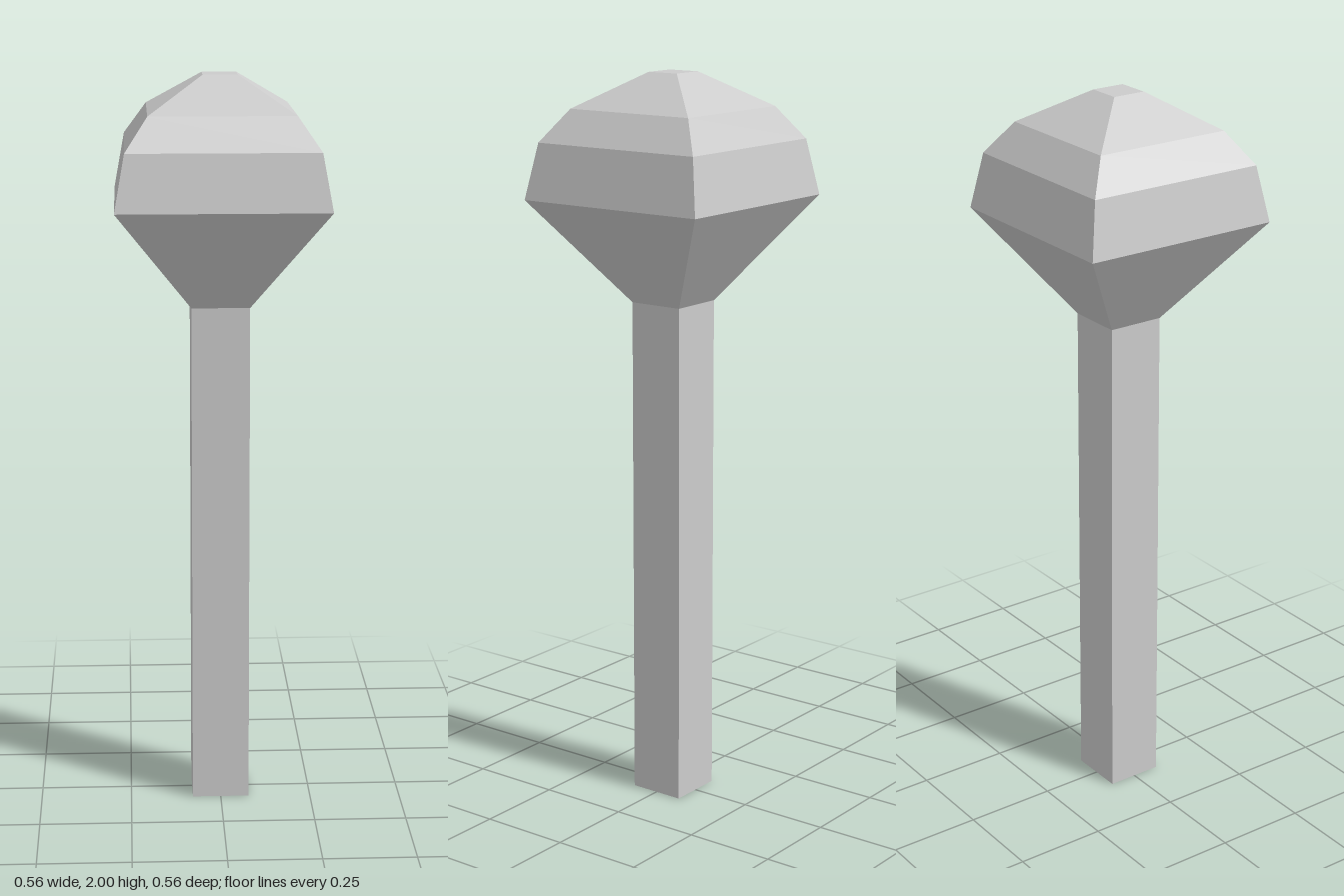
import * as THREE from 'three';

const material = new THREE.MeshStandardMaterial({ color: 0xcccccc, flatShading: true });

// Square-section solid from [half-width, height] pairs, listed bottom to top
function squareLathe(name, profile) {
  const points = profile.map(([half, y]) => new THREE.Vector2(half * Math.SQRT2, y));
  const mesh = new THREE.Mesh(new THREE.LatheGeometry(points, 4, Math.PI / 4), material);
  mesh.name = name;
  return mesh;
}

export function createModel() {
  const model = new THREE.Group();
  model.name = 'lampPost';

  // Straight square post, closed underneath
  model.add(squareLathe('post', [[0, 0], [0.078, 0], [0.078, 1.39]]));

  // Flared underside, widest at the rim, then a faceted dome with a small flat top
  model.add(squareLathe('head', [
    [0.078, 1.39], [0.279, 1.67], [0.252, 1.82], [0.192, 1.907], [0.046, 2], [0, 2],
  ]));

  return model;
}
